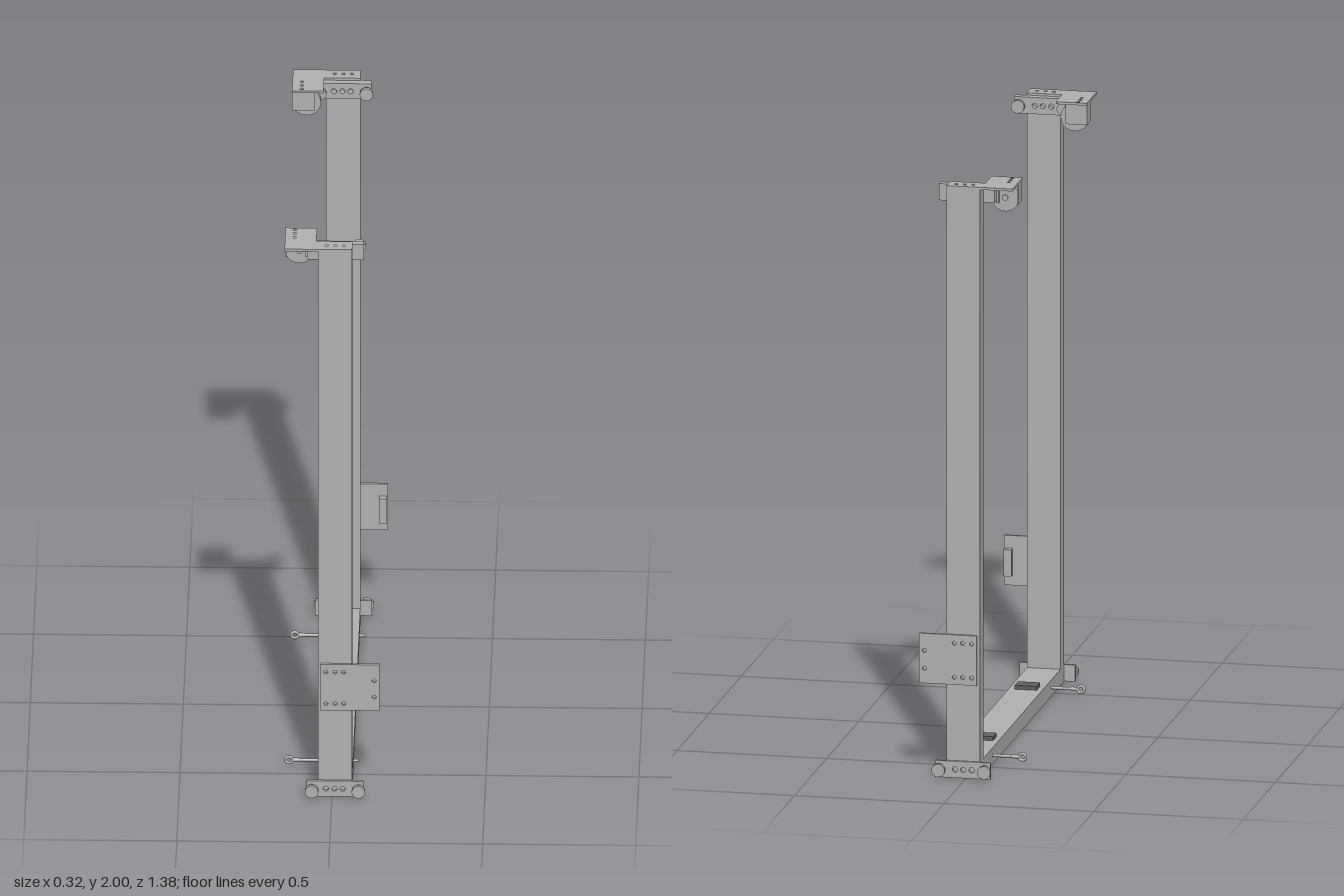
import * as THREE from 'three';

const steel = new THREE.MeshStandardMaterial({ color: 0xb0b2b2 });
steel.name = 'steel grey';
const rubber = new THREE.MeshStandardMaterial({ color: 0x606162 });
rubber.name = 'dark rubber';

export function createModel() {
  const model = new THREE.Group();
  model.name = 'frame';

  const add = (name, geo, x, y, z, mat = steel) => {
    const m = new THREE.Mesh(geo, mat);
    m.name = name;
    m.position.set(x, y, z);
    model.add(m);
    return m;
  };
  // box given by its limits along each axis
  const box = (name, x0, x1, y0, y1, z0, z1, mat) =>
    add(name, new THREE.BoxGeometry(x1 - x0, y1 - y0, Math.abs(z1 - z0)),
      (x0 + x1) / 2, (y0 + y1) / 2, (z0 + z1) / 2, mat);
  // cylinder along z between two depths
  const disc = (name, x, y, z0, z1, r) =>
    add(name, new THREE.CylinderGeometry(r, r, Math.abs(z1 - z0), 28).rotateX(Math.PI / 2),
      x, y, (z0 + z1) / 2);
  // plate with round holes, centred through its thickness
  const plate = (points, holes, thick) => {
    const shape = new THREE.Shape(points.map(p => new THREE.Vector2(...p)));
    for (const [x, y, r] of holes) {
      shape.holes.push(new THREE.Path().absarc(x, y, r, 0, Math.PI * 2, true));
    }
    return new THREE.ExtrudeGeometry(shape, { depth: thick, bevelEnabled: false, curveSegments: 6 })
      .translate(0, 0, -thick / 2);
  };
  const rect = (x0, x1, y0, y1) => [[x0, y0], [x1, y0], [x1, y1], [x0, y1]];

  // bar with three holes and two headed pins; direction d points away from the column
  const pinBar = (name, y, z, thick, d) => {
    const holes = [-0.02, 0.008, 0.035].map(x => [x, 0, 0.009]);
    add(name, plate(rect(-0.083, 0.103, -0.028, 0.028), holes, thick), 0, y, z + d * thick / 2);
    for (const x of [-0.066, 0.087]) {
      const base = z + d * thick;
      disc('pinShank', x, y, base, base + d * 0.013, 0.016);
      disc('pinHead', x, y, base + d * 0.013, base + d * 0.026, 0.022);
    }
  };

  // bottom beam
  box('beam', -0.046, 0.066, 0.005, 0.06, -0.6, 0.6);

  for (const s of [1, -1]) {
    box('column', -0.046, 0.066, 0.005, 1.992, s * 0.6, s * 0.656);

    // foot bar on the outside, head bar on the inside
    pinBar('footBar', 0.034, s * 0.656, 0.009, s);
    pinBar('headBar', 1.963, s * 0.6, 0.026, -s);

    // L-shaped top plate, drawn in x and -z
    const corners = [[-0.155, 0.5], [-0.052, 0.5], [-0.052, 0.596], [0.066, 0.596], [0.066, 0.656], [-0.155, 0.656]];
    const holes = [[-0.018, 0.628], [0.01, 0.628], [0.038, 0.628],
      [-0.124, 0.514], [-0.124, 0.541], [-0.124, 0.568]];
    const flip = ([x, z, ...r]) => [x, -s * z, ...r];
    add('topPlate', plate(corners.map(flip), holes.map(h => [...flip(h), 0.006]), 0.008)
      .rotateX(-Math.PI / 2), 0, 1.996, 0);

    // pulley housing and wheel under the top plate
    box('housingFace', -0.155, -0.082, 1.925, 1.992, s * 0.505, s * 0.511);
    for (const x of [-0.155, -0.088]) {
      box('housingSide', x, x + 0.006, 1.925, 1.992, s * 0.511, s * 0.562);
    }
    disc('pulleyWheel', -0.108, 1.943, s * 0.53, s * 0.55, 0.047);
    disc('pulleyAxle', -0.108, 1.943, s * 0.508, s * 0.556, 0.01);

    // side plate with a grip block
    const sideHoles = [[0.138, 0.43], [0.138, 0.37]];
    for (const x of [-0.02, 0.01, 0.038]) sideHoles.push([x, 0.46], [x, 0.345]);
    add('sidePlate', plate(rect(-0.037, 0.155, 0.32, 0.488), sideHoles.map(h => [...h, 0.007]), 0.009),
      0, 0, s * 0.6605);
    box('gripBlock', 0.126, 0.152, 0.355, 0.445, s * 0.634, s * 0.656);

    // eye bolt through the beam
    const z = s * 0.456;
    add('eyeBoltRod', new THREE.CylinderGeometry(0.005, 0.005, 0.215, 16).rotateZ(Math.PI / 2), -0.025, 0.034, z);
    add('eyeBoltCollar', new THREE.CylinderGeometry(0.007, 0.007, 0.018, 16).rotateZ(Math.PI / 2), -0.122, 0.034, z);
    add('eyeBoltRing', new THREE.TorusGeometry(0.011, 0.005, 10, 24), -0.145, 0.034, z);

    // rubber pad on the beam
    box('pad', -0.028, 0.046, 0.06, 0.073, s * 0.312, s * 0.366, rubber);
  }
  return model;
}
